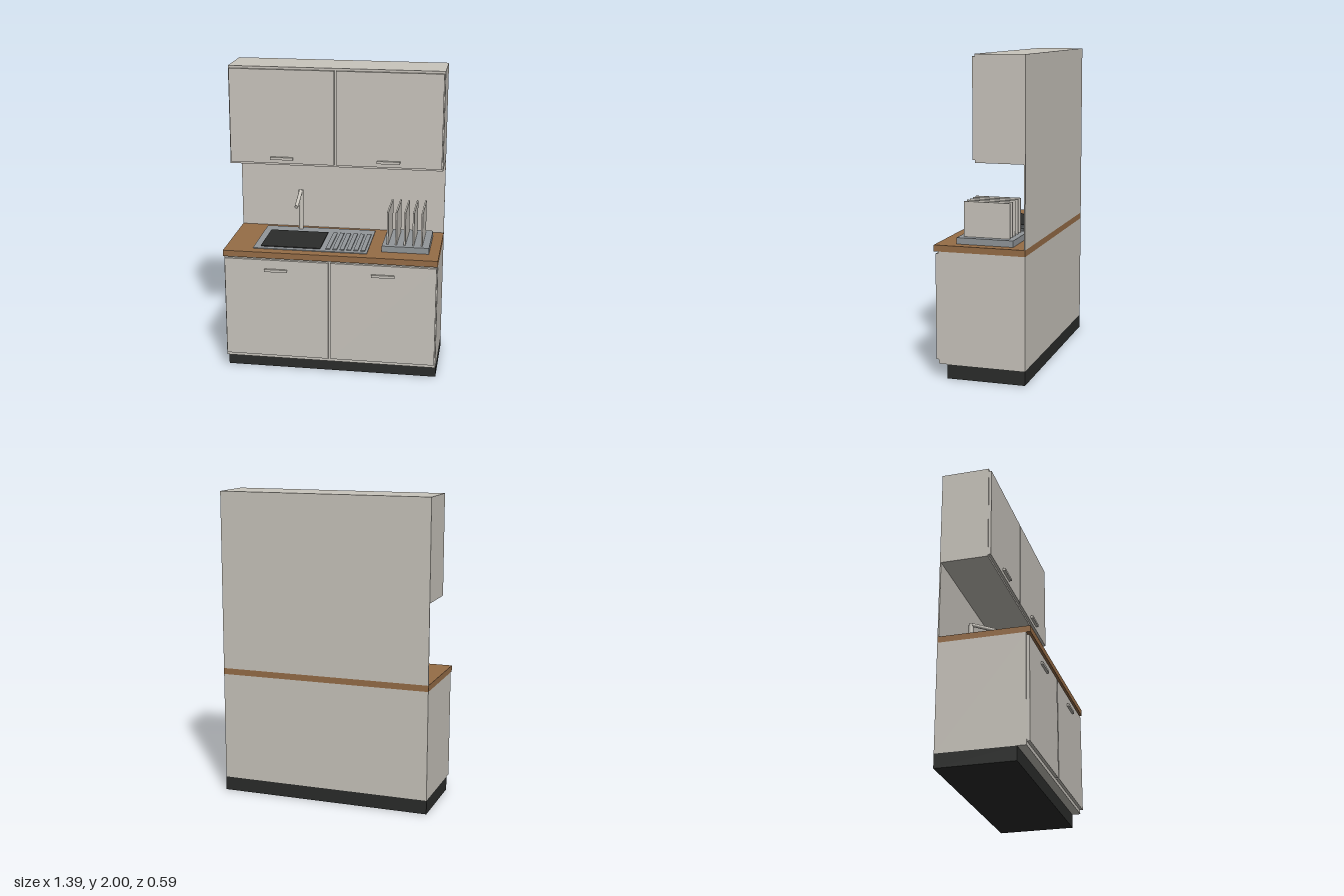
import * as THREE from 'three';

const mat = (name, color) => {
  const m = new THREE.MeshStandardMaterial({ color });
  m.name = name;
  return m;
};

export function createModel() {
  const group = new THREE.Group();
  group.name = 'kitchenette';
  const cream = mat('cream', 0xc9c5bd);
  const wood = mat('wood', 0x966d47);
  const steel = mat('steel', 0x92979a);
  const black = mat('black', 0x2b2c2b);

  // Box given by its limits on each axis
  const box = (name, material, x0, x1, y0, y1, z0, z1) => {
    const mesh = new THREE.Mesh(new THREE.BoxGeometry(x1 - x0, y1 - y0, z1 - z0), material);
    mesh.position.set((x0 + x1) / 2, (y0 + y1) / 2, (z0 + z1) / 2);
    mesh.name = name;
    group.add(mesh);
  };

  // Round bar between two points
  const bar = (name, material, radius, a, b) => {
    const dir = b.clone().sub(a);
    const mesh = new THREE.Mesh(new THREE.CylinderGeometry(radius, radius, dir.length(), 20), material);
    mesh.position.copy(a).add(b).multiplyScalar(0.5);
    mesh.quaternion.setFromUnitVectors(new THREE.Vector3(0, 1, 0), dir.normalize());
    mesh.name = name;
    group.add(mesh);
  };

  const W = 0.697, BACK = -0.295;

  // Carcasses, plinth, worktop and splashback
  box('plinth', black, -W, W, 0, 0.09, BACK, 0.205);
  box('baseCabinet', cream, -W, W, 0.09, 0.80, BACK, 0.26);
  box('worktop', wood, -W, W, 0.80, 0.84, BACK, 0.288);
  box('splashback', cream, -W, W, 0.84, 1.355, BACK, -0.287);
  box('wallCabinet', cream, -W, W, 1.355, 2, BACK, 0.018);

  // Doors and handles, two per cabinet
  for (const s of [-1, 1]) {
    const x0 = s < 0 ? -0.69 : 0.007, x1 = x0 + 0.683;
    const h = s < 0 ? -0.35 : 0.348;
    box('baseDoor', cream, x0, x1, 0.115, 0.785, 0.26, 0.28);
    box('baseHandle', cream, h - 0.075, h + 0.075, 0.708, 0.725, 0.28, 0.295);
    box('wallDoor', cream, x0, x1, 1.37, 1.985, 0.018, 0.035);
    box('wallHandle', cream, h - 0.075, h + 0.075, 1.396, 1.413, 0.035, 0.053);
  }

  // Sink with drainer ribs
  box('sinkTray', steel, -0.513, 0.235, 0.84, 0.845, -0.25, 0.22);
  box('sinkBowl', black, -0.468, -0.075, 0.845, 0.85, -0.15, 0.185);
  for (let i = 0; i < 6; i++) {
    const x = -0.025 + i * 0.046;
    box('drainerRib', steel, x - 0.014, x + 0.014, 0.845, 0.851, -0.15, 0.185);
  }

  // Tap
  bar('tapPost', cream, 0.016, new THREE.Vector3(-0.274, 0.845, -0.22), new THREE.Vector3(-0.274, 1.12, -0.22));
  bar('tapSpout', cream, 0.012, new THREE.Vector3(-0.274, 1.115, -0.222), new THREE.Vector3(-0.274, 1.05, -0.05));

  // Dish rack
  box('rackBase', steel, 0.325, 0.63, 0.84, 0.88, -0.2, 0.163);
  for (let i = 0; i < 5; i++) {
    const x = 0.358 + i * 0.0555;
    box('rackPlate', cream, x - 0.005, x + 0.005, 0.88, 1.10, -0.165, 0.13);
  }

  return group;
}
